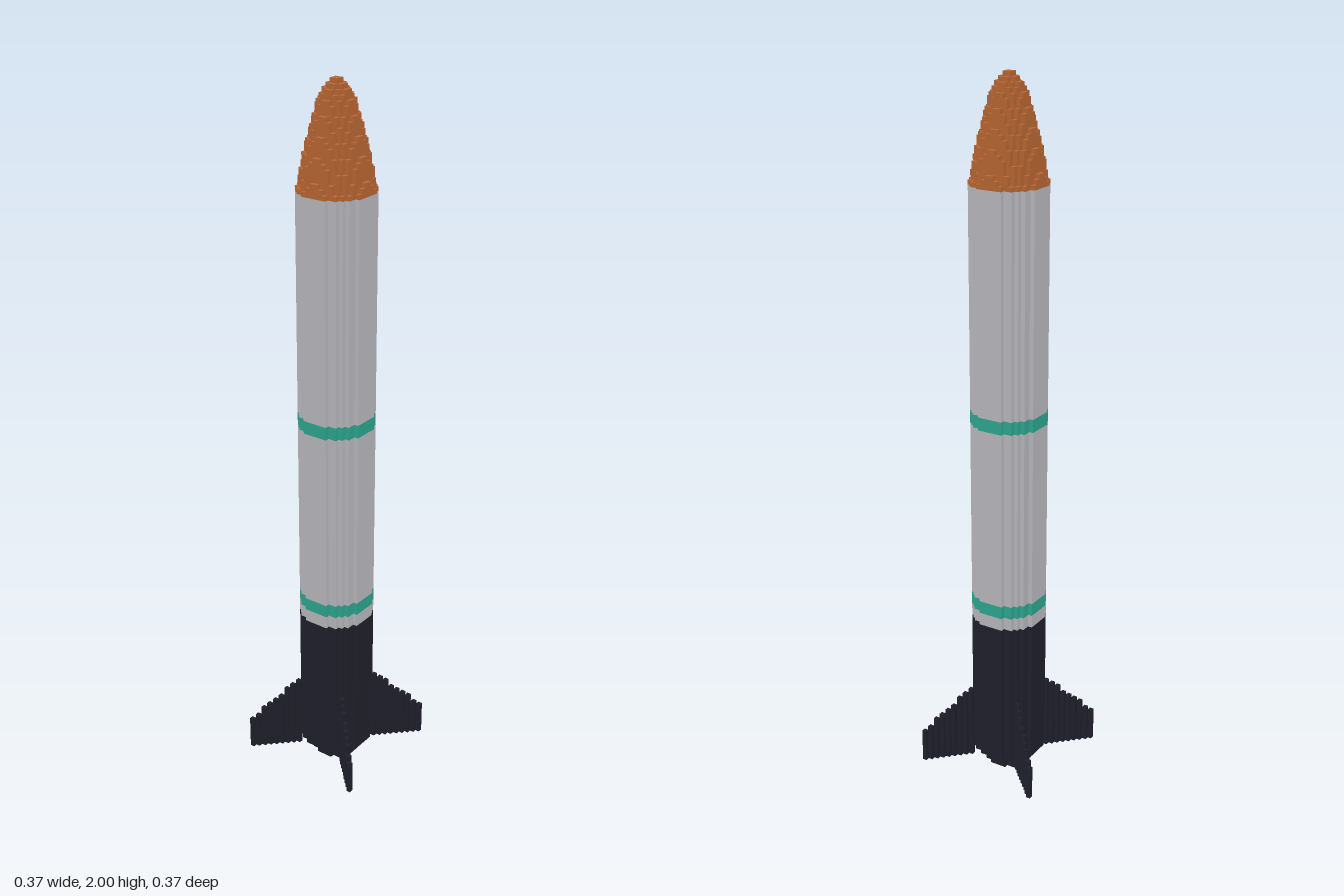
import * as THREE from 'three';
import { mergeGeometries } from 'three/addons/utils/BufferGeometryUtils.js';

const V = 2 / 163; // edge of one block

const paint = (name, color) => {
  const m = new THREE.MeshStandardMaterial({ color });
  m.name = name;
  return m;
};

// A blocky disc: every cell whose centre lies within the radius, from layer y0 to y1
function blockDisc(radius, y0, y1) {
  const side = [];
  const n = Math.ceil(radius);
  for (let k = -n; k < n; k++) {
    const reach = radius * radius - (k + 0.5) ** 2;
    if (reach < 0.25) continue;
    const half = Math.floor(Math.sqrt(reach) + 0.5);
    const last = side[side.length - 1];
    if (last && last.x === half) last.y = k + 1;
    else side.push(new THREE.Vector2(half, k), new THREE.Vector2(half, k + 1));
  }
  const mirrored = side.map((p) => new THREE.Vector2(-p.x, p.y)).reverse();
  const geo = new THREE.ExtrudeGeometry(new THREE.Shape([...side, ...mirrored]), {
    depth: y1 - y0, bevelEnabled: false,
  });
  return geo.rotateX(-Math.PI / 2).translate(0, y0, 0).scale(V, V, V);
}

export function createModel() {
  const group = new THREE.Group();
  const dark = paint('dark navy', 0x20202c);
  const grey = paint('light grey', 0xbabac0);
  const teal = paint('teal', 0x2ca890);
  const orange = paint('burnt orange', 0xbb6733);

  const add = (name, geo, mat) => {
    const mesh = new THREE.Mesh(geo, mat);
    mesh.name = name;
    group.add(mesh);
  };

  // Engine and the straight hull with its bands
  add('nozzle', blockDisc(5, 0, 4), dark);
  add('engineSection', blockDisc(8, 4, 39), dark);
  add('lowerCollar', blockDisc(8, 39, 42), grey);
  add('lowerStripe', blockDisc(8, 42, 45), teal);
  add('lowerHull', blockDisc(8, 45, 87), grey);
  add('upperStripe', blockDisc(8, 87, 90), teal);
  add('upperHull', blockDisc(8, 90, 140), grey);

  // Parabolic nose, one layer at a time
  const layers = [];
  for (let j = 0; j < 23; j++) {
    layers.push(blockDisc(8 * Math.sqrt(1 - (j + 0.5) / 23), 140 + j, 141 + j));
  }
  add('noseCone', mergeGeometries(layers), orange);

  // Four diagonal fins made of block columns that get shorter outwards
  for (const [sx, sz, name] of [[1, 1, 'frontLeft'], [-1, 1, 'frontRight'], [1, -1, 'backLeft'], [-1, -1, 'backRight']]) {
    const columns = [];
    for (let i = 6; i <= 14; i++) {
      const top = Math.round(10 + (10 * (14 - i)) / 8);
      const column = new THREE.BoxGeometry(V, (top - 2) * V, V);
      columns.push(column.translate(sx * (i + 0.5) * V, ((top + 2) / 2) * V, sz * (i + 0.5) * V));
    }
    add(name + 'Fin', mergeGeometries(columns), dark);
  }
  return group;
}
